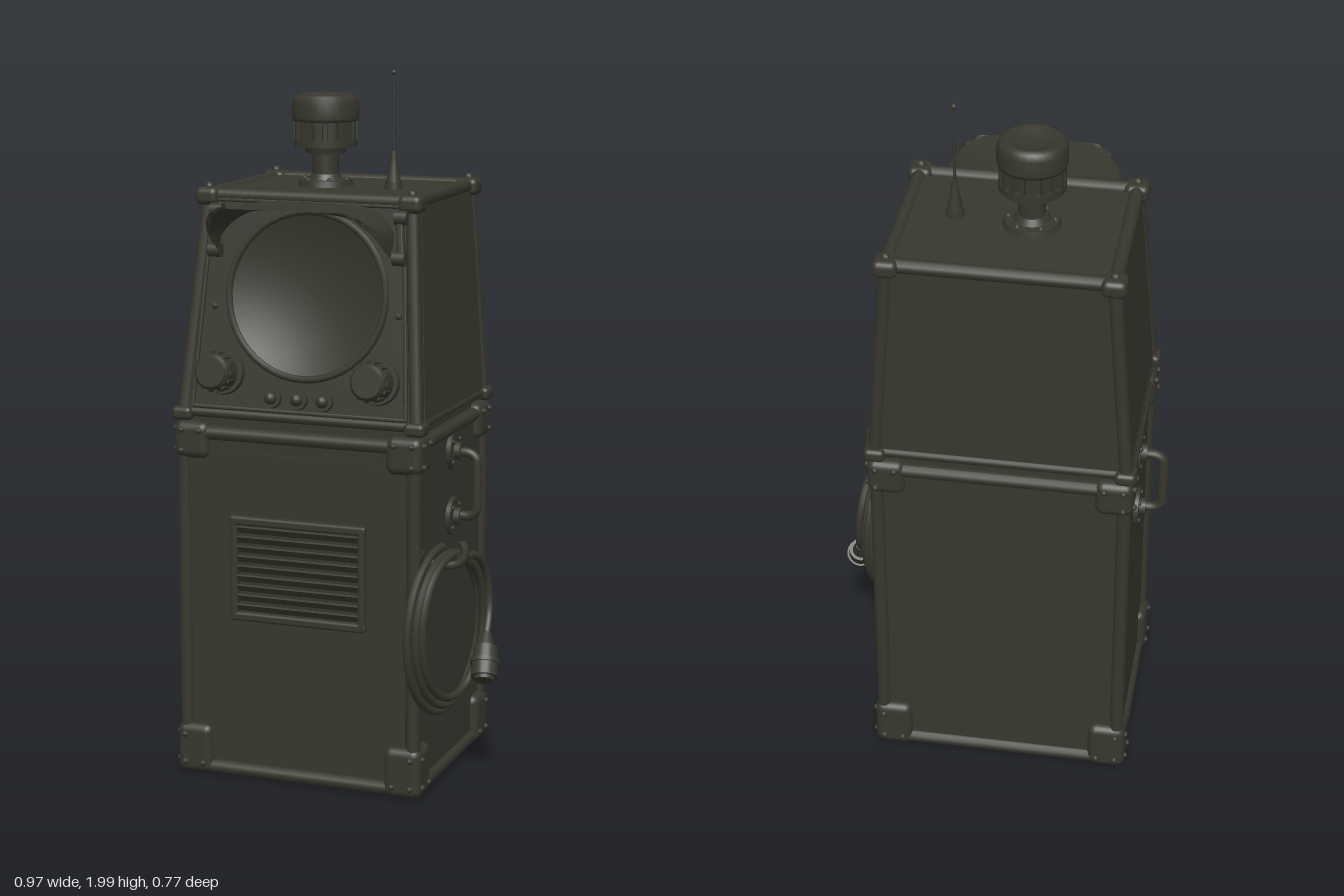
import * as THREE from 'three';
import { RoundedBoxGeometry } from 'three/addons/geometries/RoundedBoxGeometry.js';

export function createModel() {
  const model = new THREE.Group();
  const olive = new THREE.MeshStandardMaterial({ color: 0x37372e, side: THREE.DoubleSide });
  olive.name = 'darkOlive';
  const V = (x, y, z) => new THREE.Vector3(x, y, z);
  const CX = -0.047; // cabinet centre

  function add(name, geo, pos = [0, 0, 0], rot = [0, 0, 0], parent = model) {
    const m = new THREE.Mesh(geo, olive);
    m.name = name;
    m.position.set(...pos);
    m.rotation.set(...rot);
    parent.add(m);
    return m;
  }
  function bar(name, a, b, r) {
    const d = b.clone().sub(a);
    const m = add(name, new THREE.CylinderGeometry(r, r, d.length(), 12), a.clone().add(b).multiplyScalar(0.5).toArray());
    m.quaternion.setFromUnitVectors(V(0, 1, 0), d.normalize());
  }
  const lathe = (pts, n = 32) => new THREE.LatheGeometry(pts.map(p => new THREE.Vector2(...p)), n);
  // steps with sharp edges: one cylinder per [radiusBottom, radiusTop, y0, y1]
  function stack(name, x, z, rows, n = 32) {
    for (const [r0, r1, y0, y1] of rows)
      add(name, new THREE.CylinderGeometry(r1, r0, y1 - y0, n), [x, (y0 + y1) / 2, z]);
  }

  // Lower cabinet, with a shallow recess underneath
  add('lowerCabinet', new THREE.BoxGeometry(0.69, 0.98, 0.586), [CX, 0.535, -0.063]);
  for (const s of [-1, 1]) {
    add('bottomRim', new THREE.BoxGeometry(0.03, 0.04, 0.586), [CX + s * 0.33, 0.032, -0.063]);
    add('bottomRim', new THREE.BoxGeometry(0.69, 0.04, 0.03), [CX, 0.032, -0.063 + s * 0.278]);
  }
  add('lowerFrontPanel', new THREE.BoxGeometry(0.64, 0.89, 0.012), [CX, 0.51, 0.231]);

  // Upper cabinet tapers on both sides and slopes at the front
  const upper = new THREE.BoxGeometry(1, 1, 1);
  const p = upper.attributes.position;
  for (let i = 0; i < p.count; i++) {
    const top = p.getY(i) > 0;
    const front = p.getZ(i) > 0;
    p.setXYZ(i, CX + p.getX(i) * (top ? 0.62 : 0.71), top ? 1.67 : 1.05, front ? (top ? 0.095 : 0.185) : -0.36);
  }
  upper.computeVertexNormals();
  add('upperCabinet', upper);
  add('seam', new THREE.BoxGeometry(0.67, 0.06, 0.57), [CX, 1.035, -0.063]);

  // Edge tubing
  const ring = (y, x, z0, z1) => [V(CX - x, y, z0), V(CX + x, y, z0), V(CX + x, y, z1), V(CX - x, y, z1)];
  const low = ring(0.032, 0.341, -0.352, 0.228);
  const mid = ring(1.005, 0.341, -0.352, 0.228);
  const lip = ring(1.062, 0.343, -0.352, 0.222);
  const top = ring(1.66, 0.298, -0.352, 0.135);
  for (const loop of [low, mid, lip, top])
    loop.forEach((a, i) => bar('edgeTube', a, loop[(i + 1) % 4], loop === lip ? 0.015 : 0.02));
  low.forEach((a, i) => {
    bar('cornerTube', a, mid[i], 0.02);
    bar('cornerTube', lip[i], top[i], 0.019);
  });

  // Corner guards with rivets
  function guard(c, w, h, dir, shift) {
    const sx = Math.sign(c.x - CX), sz = Math.sign(c.z + 0.06);
    const x = c.x + sx * 0.026, z = c.z + sz * 0.026, y = c.y + shift;
    add('cornerGuard', new RoundedBoxGeometry(w, h, w, 3, 0.024), [x - sx * w / 2, y, z - sz * w / 2]);
    for (const [u, v] of [[0.25, 0.28], [0.25, -0.28], [0.75, -0.28 * dir]]) {
      add('rivet', new THREE.SphereGeometry(0.009, 8, 6), [x - sx * w * u, y + v * h, z]);
      add('rivet', new THREE.SphereGeometry(0.009, 8, 6), [x, y + v * h, z - sz * w * u]);
    }
  }
  low.forEach(c => guard(c, 0.108, 0.145, 1, 0.052));
  mid.forEach(c => guard(c, 0.105, 0.105, -1, -0.022));
  lip.forEach(c => add('lipCorner', new RoundedBoxGeometry(0.06, 0.038, 0.06, 3, 0.014), [c.x, c.y - 0.005, c.z]));
  top.forEach(c => {
    add('topCorner', new RoundedBoxGeometry(0.068, 0.05, 0.068, 3, 0.018), [c.x, c.y - 0.003, c.z]);
    add('rivet', new THREE.SphereGeometry(0.013, 10, 8), [c.x, c.y + 0.022, c.z]);
  });

  // Louvred vent
  const VX = -0.043, VY = 0.627;
  for (const s of [-1, 1]) {
    add('ventFrame', new RoundedBoxGeometry(0.405, 0.026, 0.025, 2, 0.008), [VX, VY + s * 0.138, 0.241]);
    add('ventFrame', new RoundedBoxGeometry(0.022, 0.3, 0.025, 2, 0.008), [VX + s * 0.19, VY, 0.241]);
  }
  for (let i = 0; i < 9; i++)
    add('ventSlat', new THREE.BoxGeometry(0.365, 0.022, 0.006), [VX, VY - 0.112 + i * 0.028, 0.243], [0.6, 0, 0]);

  // Sloping face: plate with a round opening and a concave screen
  const face = new THREE.Group();
  face.name = 'screenFace';
  face.position.set(CX, 1.05, 0.233);
  face.rotation.x = -0.144;
  model.add(face);
  const onFace = (name, geo, pos, rot) => add(name, geo, pos, rot, face);
  const plate = new THREE.Shape();
  plate.moveTo(-0.352, 0.02); plate.lineTo(0.352, 0.02);
  plate.lineTo(0.31, 0.62); plate.lineTo(-0.31, 0.62); plate.closePath();
  plate.holes.push(new THREE.Path().absarc(0.01, 0.352, 0.226, 0, Math.PI * 2, true));
  onFace('facePlate', new THREE.ExtrudeGeometry(plate, { depth: 0.05, bevelEnabled: false, curveSegments: 32 }), [0, 0, -0.05]);
  const dish = [];
  for (let i = 0; i <= 10; i++) dish.push([0.0228 * i, -0.045 * (1 - (i / 10) ** 2)]);
  onFace('concaveScreen', lathe(dish, 48), [0.01, 0.352, 0], [Math.PI / 2, 0, 0]);
  onFace('screenRing', new THREE.TorusGeometry(0.23, 0.01, 8, 48), [0.01, 0.352, 0.002]);

  // Raised border around the sloping face
  const b = [V(-0.315, 0.03, 0), V(0.315, 0.03, 0), V(0.28, 0.605, 0), V(-0.28, 0.605, 0)];
  b.forEach((a, i) => {
    const d = b[(i + 1) % 4].clone().sub(a), c = a.clone().addScaledVector(d, 0.5);
    onFace('faceBorder', new RoundedBoxGeometry(d.length() + 0.012, 0.012, 0.016, 2, 0.005), c.toArray(), [0, 0, Math.atan2(d.y, d.x)]);
  });
  for (const s of [-1, 1]) {
    onFace('faceScrew', new THREE.SphereGeometry(0.01, 8, 6), [0.01 + s * 0.27, 0.31, 0.002]);
    // Large knobs with ribbed grips
    const kx = s * 0.228;
    for (const [r0, r1, z0, z1] of [[0.066, 0.063, 0, 0.014], [0.045, 0.045, 0.014, 0.03], [0.056, 0.05, 0.03, 0.082], [0.05, 0.042, 0.082, 0.092]])
      onFace('knob', new THREE.CylinderGeometry(r1, r0, z1 - z0, 24), [kx, 0.13, (z0 + z1) / 2], [Math.PI / 2, 0, 0]);
    for (let i = 0; i < 14; i++) {
      const t = i / 14 * Math.PI * 2;
      onFace('knobRib', new THREE.BoxGeometry(0.01, 0.01, 0.045), [kx + 0.052 * Math.cos(t), 0.13 + 0.052 * Math.sin(t), 0.055], [0, 0, t]);
    }
    // Visor hinge arms
    onFace('visorArm', new RoundedBoxGeometry(0.022, 0.13, 0.022, 2, 0.008), [0.008 + s * 0.27, 0.52, 0.014], [0, 0, s * 0.08]);
    for (const y of [0.465, 0.575])
      onFace('armBolt', new THREE.CylinderGeometry(0.02, 0.02, 0.035, 14), [0.008 + s * 0.27, y, 0.015], [0, 0, Math.PI / 2]);
  }
  for (const x of [-0.077, 0, 0.075]) {
    onFace('button', new THREE.CylinderGeometry(0.027, 0.029, 0.012, 18), [x, 0.066, 0.006], [Math.PI / 2, 0, 0]);
    onFace('buttonCap', new THREE.SphereGeometry(0.018, 14, 10), [x, 0.066, 0.014]);
  }

  // Visor: thin hood whose sides droop towards the hinges
  const NU = 24, NV = 10;
  const hood = new THREE.PlaneGeometry(1, 1, NU, NV);
  const hp = hood.attributes.position;
  for (let i = 0; i < hp.count; i++) {
    const u = hp.getX(i) * 2, v = hp.getY(i) + 0.5;
    const half = 0.257 - 0.075 * v ** 4;
    const a = Math.abs(u);
    const drop = a ** 5 * 0.115 * (1 - v) ** 0.8;
    const x = Math.sign(u) * half * Math.min(1, a * 1.1);
    const back = 0.145 + 0.055 * a ** 5;
    hp.setXYZ(i, -0.04 + x, 1.652 - 0.012 * Math.sin(v * Math.PI) * a - drop, back + (0.382 - 0.03 * a ** 8 - back) * v);
  }
  hood.computeVertexNormals();
  add('visor', hood);
  const under = hood.clone();
  const up = under.attributes.position;
  for (let i = 0; i < up.count; i++) {
    const v = 1 - Math.floor(i / (NU + 1)) / NV;
    up.setXYZ(i, -0.04 + (up.getX(i) + 0.04) * 0.975, up.getY(i) - 0.022 * (1 - v), up.getZ(i));
  }
  under.computeVertexNormals();
  add('visorLining', under);

  // Beacon on the roof
  const BX = -0.093, BZ = -0.105;
  stack('beacon', BX, BZ, [[0.078, 0.074, 1.67, 1.688], [0.05, 0.04, 1.688, 1.705], [0.037, 0.037, 1.7, 1.775],
    [0.055, 0.06, 1.762, 1.782], [0.09, 0.09, 1.782, 1.802], [0.075, 0.075, 1.8, 1.86]]);
  for (let i = 0; i < 18; i++) {
    const t = i / 18 * Math.PI * 2;
    add('beaconRib', new THREE.BoxGeometry(0.014, 0.062, 0.014), [BX + 0.082 * Math.cos(t), 1.83, BZ + 0.082 * Math.sin(t)], [0, -t, 0]);
  }
  for (let i = 0; i < 6; i++) {
    const t = i / 6 * Math.PI * 2;
    add('beaconBolt', new THREE.SphereGeometry(0.009, 8, 6), [BX + 0.063 * Math.cos(t), 1.688, BZ + 0.063 * Math.sin(t)]);
  }
  add('beaconCap', lathe([[0.07, 1.85], [0.092, 1.853], [0.095, 1.863], [0.094, 1.905], [0.087, 1.922], [0.072, 1.928], [0.055, 1.92], [0.03, 1.912], [0, 1.91]]), [BX, 0, BZ]);

  // Antenna
  stack('antenna', 0.116, -0.09, [[0.026, 0.024, 1.67, 1.69], [0.021, 0.011, 1.69, 1.745], [0.011, 0.007, 1.745, 1.775], [0.0045, 0.0035, 1.77, 1.99]], 14);
  add('antennaTip', new THREE.SphereGeometry(0.008, 10, 8), [0.116, 1.992, -0.09]);

  // Side handles on round riveted plates
  for (const s of [-1, 1]) {
    const X = d => CX + s * (0.345 + d);
    const path = new THREE.CatmullRomCurve3([V(X(0), 0.935, -0.078), V(X(0.055), 0.935, -0.078), V(X(0.073), 0.92, -0.078), V(X(0.075), 0.89, -0.078),
      V(X(0.075), 0.8, -0.078), V(X(0.073), 0.77, -0.078), V(X(0.055), 0.755, -0.078), V(X(0), 0.755, -0.078)], false, 'centripetal');
    add('handle', new THREE.TubeGeometry(path, 40, 0.014, 10), [0, 0, 0]);
    for (const y of [0.94, 0.75]) {
      add('handlePlate', new THREE.CylinderGeometry(0.055, 0.055, 0.016, 24), [X(0.005), y, -0.078], [0, 0, Math.PI / 2]);
      add('handleCollar', new THREE.CylinderGeometry(0.025, 0.025, 0.03, 16), [X(0.015), y, -0.078], [0, 0, Math.PI / 2]);
      for (let i = 0; i < 4; i++) {
        const t = (i + 0.5) * Math.PI / 2;
        add('rivet', new THREE.SphereGeometry(0.007, 8, 6), [X(0.013), y + 0.041 * Math.cos(t), -0.078 + 0.041 * Math.sin(t)]);
      }
    }
  }

  // Coiled cable hung on the left side, ending in a plug
  const coil = [];
  for (let i = 0; i <= 66; i++) {
    const t = i / 22 * Math.PI * 2, turn = i / 22;
    const r = 0.192 - 0.011 * turn + 0.006 * Math.sin(t * 0.7);
    const z = 0.112 + r * Math.sin(t);
    coil.push(V(0.358 - 0.2 * (z - 0.11) + 0.014 * (turn - 1.5), 0.475 + r * 1.22 * Math.cos(t), z));
  }
  coil.push(V(0.405, 0.67, 0.03), V(0.418, 0.6, -0.035), V(0.425, 0.5, -0.04), V(0.43, 0.43, 0));
  add('cable', new THREE.TubeGeometry(new THREE.CatmullRomCurve3(coil), 260, 0.0115, 8));
  const plug = new THREE.Group();
  plug.name = 'plug';
  plug.position.set(0.43, 0.44, -0.005);
  plug.quaternion.setFromUnitVectors(V(0, 1, 0), V(0.02, -0.11, 0.085).normalize());
  model.add(plug);
  for (const [r0, r1, y0, y1] of [[0.013, 0.025, 0, 0.045], [0.034, 0.036, 0.045, 0.085], [0.042, 0.042, 0.085, 0.097], [0.038, 0.038, 0.097, 0.135], [0.03, 0.028, 0.135, 0.145]])
    add('plugBody', new THREE.CylinderGeometry(r1, r0, y1 - y0, 20), [0, (y0 + y1) / 2, 0], [0, 0, 0], plug);

  // Cable hook and small latch
  const hook = new THREE.CatmullRomCurve3([V(0.295, 0.66, 0.115), V(0.34, 0.655, 0.112), V(0.385, 0.665, 0.105), V(0.398, 0.7, 0.1), V(0.388, 0.725, 0.1)]);
  add('cableHook', new THREE.TubeGeometry(hook, 20, 0.012, 8));
  add('latch', new RoundedBoxGeometry(0.02, 0.03, 0.045, 2, 0.008), [0.305, 0.7, 0.215]);
  return model;
}
